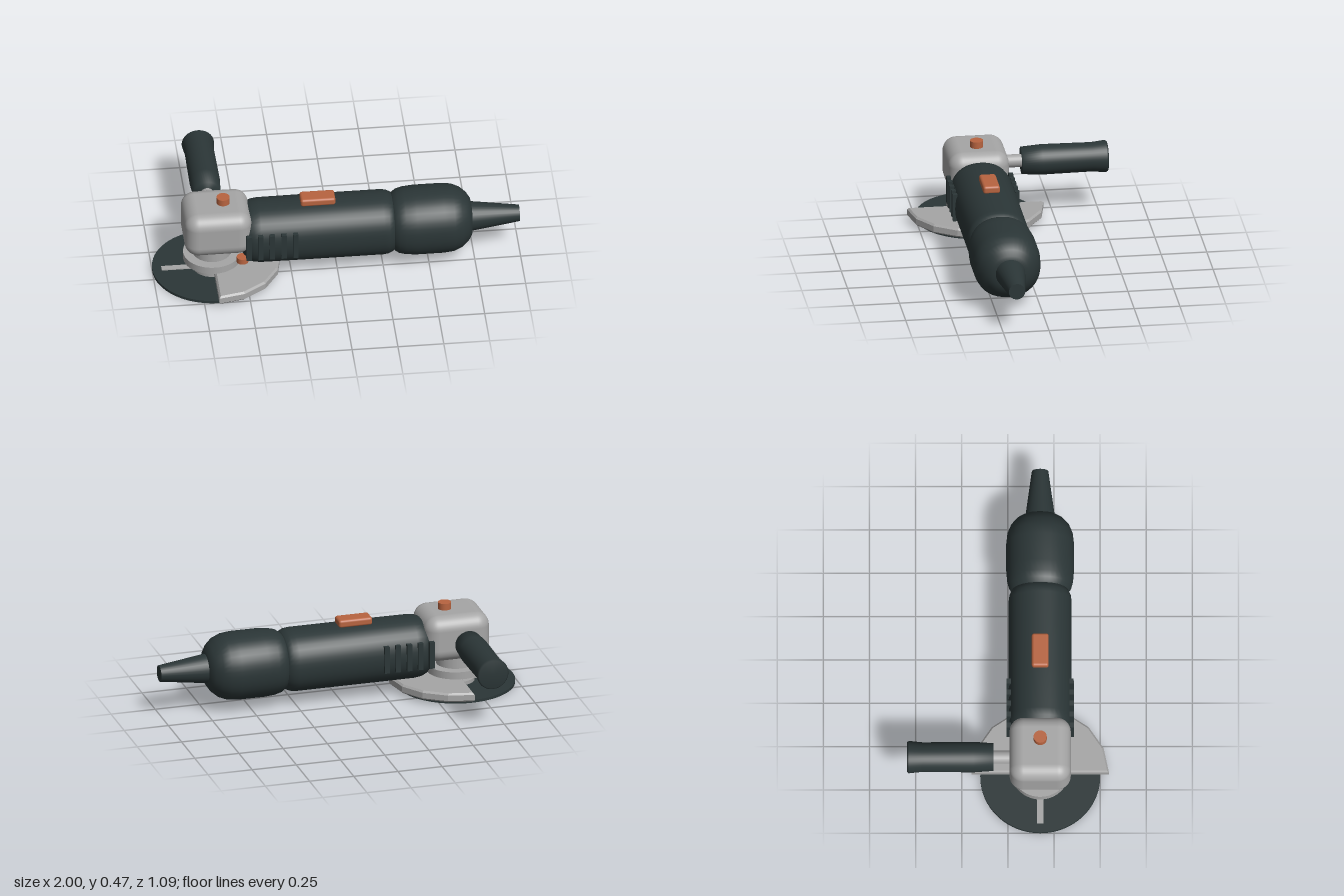
import * as THREE from 'three';
import { mergeVertices } from 'three/addons/utils/BufferGeometryUtils.js';
import { RoundedBoxGeometry } from 'three/addons/geometries/RoundedBoxGeometry.js';

const CZ = 0.175;       // centre plane of the tool
const SPINDLE = -0.675; // spindle axis in x
const AXIS_Y = 0.237;   // height of the motor axis

function material(name, color) {
  const m = new THREE.MeshStandardMaterial({ color });
  m.name = name;
  return m;
}

// Lathe along +x from [x, radius] pairs; power above 2 squares the section slightly
function bodyGeometry(profile, power = 2) {
  const pts = profile.map(([x, r]) => new THREE.Vector2(r, x));
  const g = new THREE.LatheGeometry(pts, 40);
  g.rotateZ(-Math.PI / 2);
  const p = g.attributes.position;
  for (let i = 0; i < p.count; i++) {
    const y = p.getY(i), z = p.getZ(i), r = Math.hypot(y, z);
    if (r < 1e-5) continue;
    const k = Math.pow(Math.abs(y / r) ** power + Math.abs(z / r) ** power, -1 / power);
    p.setY(i, y * k);
    p.setZ(i, z * k);
  }
  g.deleteAttribute('uv');
  g.deleteAttribute('normal');
  const merged = mergeVertices(g, 1e-5);
  merged.computeVertexNormals();
  return merged;
}

export function createModel() {
  const model = new THREE.Group();
  model.name = 'angleGrinder';
  const dark = material('darkHousing', 0x2b3637);
  const metal = material('greyMetal', 0xa6a6a6);
  const orange = material('orangeControl', 0xb86440);

  const add = (name, geometry, mat, x, y, z) => {
    const mesh = new THREE.Mesh(geometry, mat);
    mesh.name = name;
    mesh.position.set(x, y, z);
    model.add(mesh);
    return mesh;
  };
  // Upright disc between two heights
  const disc = (name, mat, x, z, r, y0, y1, sides = 40) =>
    add(name, new THREE.CylinderGeometry(r, r, y1 - y0, sides), mat, x, (y0 + y1) / 2, z);

  // Motor housing and rear grip
  add('motorHousing', bodyGeometry([
    [-0.52, 0], [-0.52, 0.1], [-0.51, 0.125], [-0.49, 0.15], [-0.46, 0.165], [-0.42, 0.17],
    [-0.2, 0.171], [0.25, 0.171], [0.28, 0.167], [0.305, 0.155], [0.315, 0.14], [0.315, 0],
  ], 2.25), dark, 0, AXIS_Y, CZ);
  add('rearGrip', bodyGeometry([
    [0.3, 0], [0.3, 0.14], [0.312, 0.155], [0.335, 0.17], [0.37, 0.179], [0.43, 0.184],
    [0.58, 0.184], [0.635, 0.178], [0.68, 0.16], [0.715, 0.13], [0.735, 0.1], [0.74, 0.07], [0.74, 0],
  ], 2.2), dark, 0, AXIS_Y, CZ);

  // Cable sleeve
  const sleeve = add('cableSleeve', new THREE.CylinderGeometry(0.045, 0.083, 0.28, 28), dark, 0.86, AXIS_Y, CZ);
  sleeve.rotation.z = -Math.PI / 2;

  // Cooling vents on both sides
  for (const side of [-1, 1]) {
    for (let i = 0; i < 5; i++) {
      add('coolingVent', new THREE.BoxGeometry(0.028, 0.153, 0.024), dark,
        -0.491 + i * 0.0635, 0.241, CZ + side * 0.17);
    }
  }

  // Gear head with its neck and clamp collar
  add('gearHead', new RoundedBoxGeometry(0.365, 0.26, 0.332, 5, 0.075), metal, -0.652, 0.305, CZ);
  disc('gearNeck', metal, SPINDLE, CZ, 0.105, 0.11, 0.2);
  disc('clampCollar', metal, SPINDLE, CZ, 0.157, 0.073, 0.115);
  disc('spindle', metal, SPINDLE, CZ, 0.06, 0.015, 0.08, 24);
  disc('discFlange', metal, SPINDLE, CZ, 0.105, 0.014, 0.036);

  // Cutting disc with a thin mark on top
  disc('cuttingDisc', dark, SPINDLE, CZ, 0.325, 0, 0.015, 64);
  add('discMark', new THREE.BoxGeometry(0.2, 0.006, 0.036), metal, -0.85, 0.017, CZ);

  // Half-round guard with bevelled edges
  const bevel = 0.01, outline = new THREE.Shape();
  for (let i = 0; i <= 8; i++) {
    const a = -Math.PI / 2 + (i * Math.PI) / 8, r = 0.362;
    const x = Math.max(r * Math.cos(a), bevel), y = r * Math.sin(a);
    if (i === 0) outline.moveTo(x, y);
    else outline.lineTo(x, y);
  }
  outline.closePath();
  const guard = new THREE.ExtrudeGeometry(outline, {
    depth: 0.032, bevelEnabled: true, bevelThickness: bevel, bevelSize: bevel, bevelSegments: 1,
  });
  guard.rotateX(-Math.PI / 2);
  add('discGuard', guard, metal, SPINDLE, 0.032, CZ);

  // Controls
  add('powerSwitch', new RoundedBoxGeometry(0.19, 0.045, 0.092, 3, 0.014), orange, -0.1, 0.423, CZ);
  disc('spindleLock', orange, -0.614, CZ, 0.036, 0.425, 0.472, 24);
  disc('guardLever', orange, -0.52, 0.285, 0.032, 0.112, 0.144, 24);

  // Side handle pointing backwards
  const stem = add('handleStem', new THREE.CylinderGeometry(0.036, 0.036, 0.17, 24), metal, SPINDLE, 0.315, -0.02);
  stem.rotation.x = Math.PI / 2;
  const grip = [[0, 0.075], [0, 0.075], [0.11, 0.083], [0.385, 0.08], [0.46, 0.088], [0.47, 0.08], [0.47, 0]];
  grip[0] = [0, 0];
  const handle = add('sideHandle', bodyGeometry(grip), dark, SPINDLE, 0.315, -0.077);
  handle.rotation.y = Math.PI / 2;

  return model;
}
